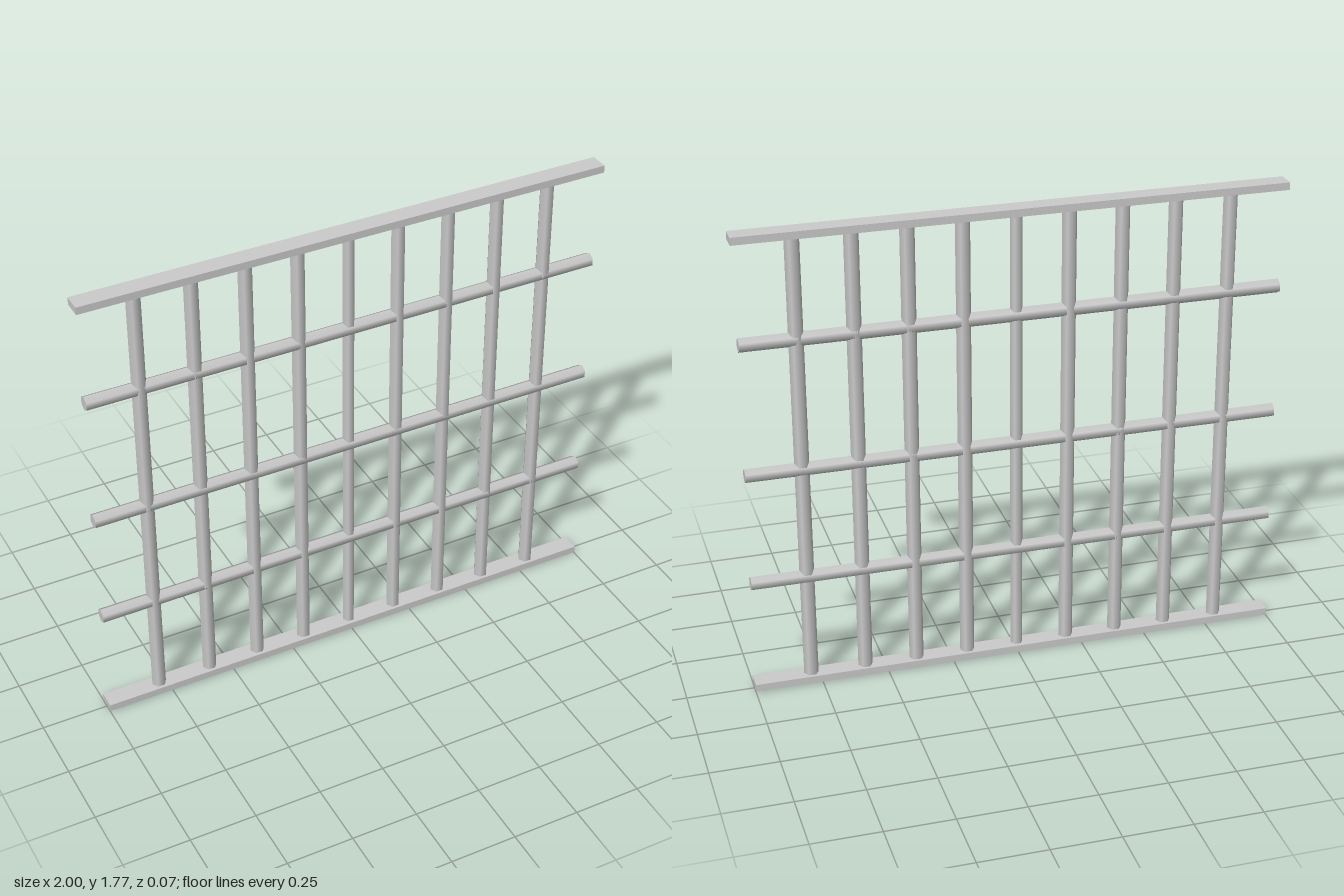
import * as THREE from 'three';

export function createModel() {
  const group = new THREE.Group();
  const material = new THREE.MeshStandardMaterial({ color: 0xcccccc });

  const add = (name, geometry, x, y) => {
    const mesh = new THREE.Mesh(geometry, material);
    mesh.name = name;
    mesh.position.set(x, y, 0);
    group.add(mesh);
  };

  // Six-sided rod with its corners pointing along x
  const rod = (radius, length) =>
    new THREE.CylinderGeometry(radius, radius, length, 6).rotateY(Math.PI / 2);

  // Flat rails along the top and bottom
  add('topRail', new THREE.BoxGeometry(2, 0.028, 0.07), 0, 1.753);
  add('bottomRail', new THREE.BoxGeometry(2, 0.028, 0.07), 0, 0.018);

  // Upright bars; the middle one is thinner and the inner three reach the ground
  [-0.79, -0.585, -0.388, -0.193, 0, 0.192, 0.388, 0.583, 0.787].forEach((x, i) => {
    const bottom = Math.abs(i - 4) <= 1 ? 0 : 0.01;
    const top = 1.75;
    add(`uprightBar${i + 1}`, rod(i === 4 ? 0.023 : 0.027, top - bottom), x, (top + bottom) / 2);
  });

  // Cross bars
  [[0.436, 0.993], [0.867, 0.992], [1.364, 0.988]].forEach(([y, half], i) => {
    add(`crossBar${i + 1}`, rod(0.027, half * 2).rotateZ(Math.PI / 2), 0, y);
  });

  return group;
}
